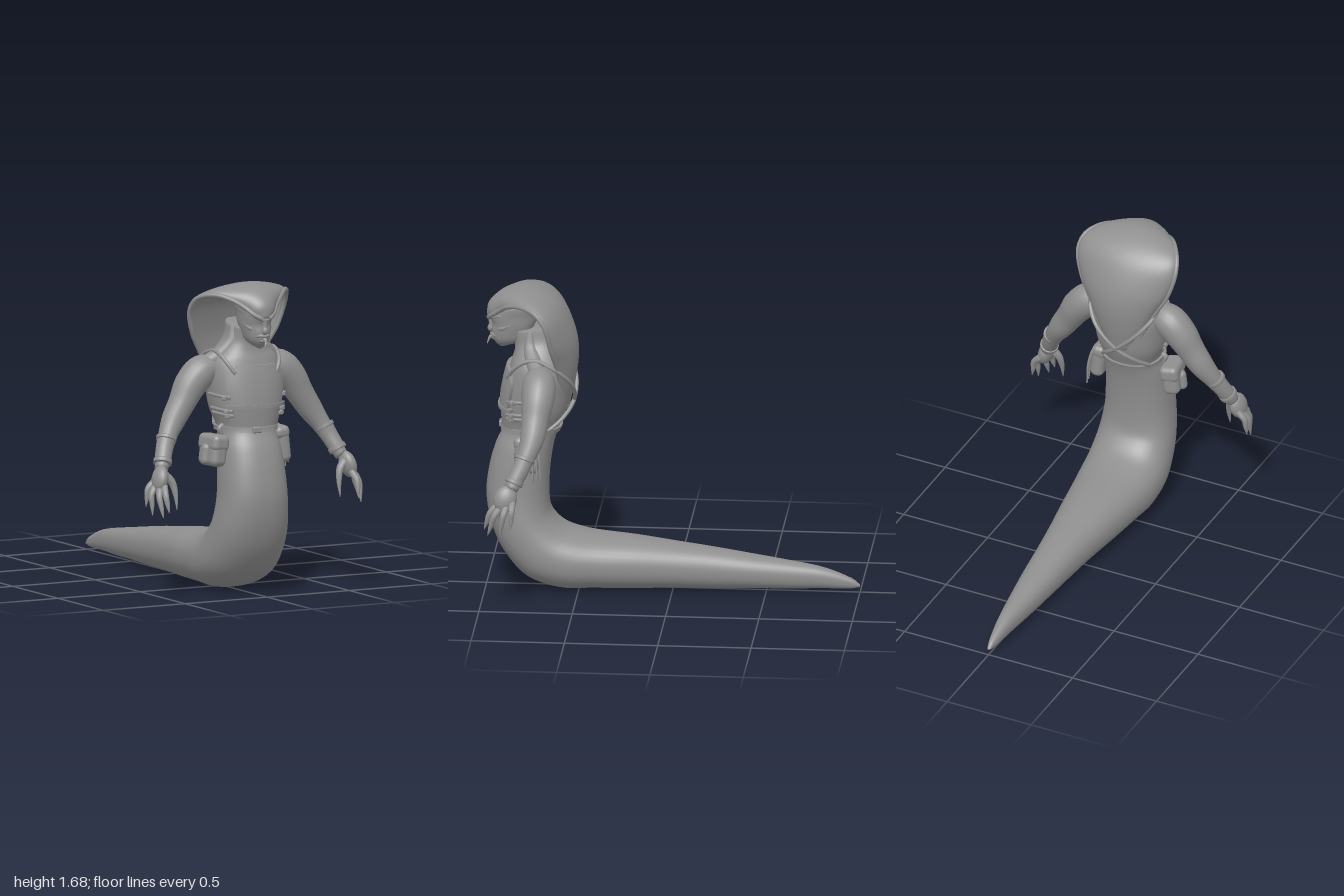
import * as THREE from 'three';
import { toCreasedNormals } from 'three/addons/utils/BufferGeometryUtils.js';
import { RoundedBoxGeometry } from 'three/addons/geometries/RoundedBoxGeometry.js';

const V = (x, y, z) => new THREE.Vector3(x, y, z);
const grey = new THREE.MeshStandardMaterial({ color: 0x8f8f8f });
grey.name = 'stone grey';

// Skin over closed rings of points, capped at both ends
function skin(rings) {
  const n = rings[0].length, pos = [], idx = [];
  for (const ring of rings) for (const p of ring) pos.push(p.x, p.y, p.z);
  for (let i = 0; i < rings.length - 1; i++) for (let j = 0; j < n; j++) {
    const k = (j + 1) % n, a = i * n + j, b = i * n + k, c = b + n, d = a + n;
    idx.push(a, b, c, a, c, d);
  }
  [0, rings.length - 1].forEach((r, e) => {
    const c = rings[r].reduce((s, p) => s.add(p), V(0, 0, 0)).divideScalar(n);
    const m = pos.length / 3;
    pos.push(c.x, c.y, c.z);
    for (let j = 0; j < n; j++) {
      const a = r * n + j, b = r * n + (j + 1) % n;
      idx.push(...(e ? [m, a, b] : [m, b, a]));
    }
  });
  const g = new THREE.BufferGeometry();
  g.setAttribute('position', new THREE.Float32BufferAttribute(pos, 3));
  g.setIndex(idx);
  g.computeVertexNormals();
  return g;
}

// Round limb through [x, y, z, radius] points
function limb(pts, steps = 24, sides = 14) {
  const path = new THREE.CatmullRomCurve3(pts.map(p => V(p[0], p[1], p[2])), false, 'centripetal');
  const rad = new THREE.CatmullRomCurve3(pts.map((p, i) => V(p[3], i, 0)), false, 'catmullrom');
  const f = path.computeFrenetFrames(steps), rings = [];
  for (let i = 0; i <= steps; i++) {
    const u = i / steps, c = path.getPointAt(u), r = rad.getPoint(path.getUtoTmapping(u)).x;
    rings.push(Array.from({ length: sides }, (_, j) => {
      const a = j / sides * Math.PI * 2;
      return c.clone().addScaledVector(f.normals[i], r * Math.cos(a)).addScaledVector(f.binormals[i], r * Math.sin(a));
    }));
  }
  return skin(rings);
}

// Cross-sections: front/belly z, y, then back z, y, then half width
const BODY = [
  [-1, .035, -1, .048, .008], [-.94, .025, -.95, .085, .022], [-.8, .025, -.8, .14, .045], [-.6, .02, -.6, .175, .072],
  [-.4, .02, -.4, .205, .096], [-.2, .015, -.2, .235, .115], [0, .015, 0, .26, .14], [.2, .01, .2, .285, .17],
  [.42, .01, .4, .302, .2], [.6, .01, .5, .32, .218], [.78, .07, .57, .345, .222], [.9, .2, .62, .385, .215],
  [.97, .35, .655, .44, .205], [1, .52, .665, .53, .19], [.985, .67, .66, .66, .18], [.95, .8, .64, .8, .168],
  [.905, .9, .61, .9, .152], [.91, 1, .57, 1, .185], [.905, 1.1, .555, 1.1, .2], [.885, 1.2, .55, 1.2, .205],
  [.865, 1.27, .57, 1.27, .19], [.85, 1.32, .6, 1.33, .14], [.85, 1.37, .62, 1.39, .1], [.87, 1.44, .62, 1.47, .085]];
const HEAD = [
  [.925, 1.338, .89, 1.345, .014], [.95, 1.36, .83, 1.365, .042], [.968, 1.39, .79, 1.39, .06], [.972, 1.43, .76, 1.43, .07],
  [.968, 1.47, .74, 1.47, .077], [.982, 1.515, .72, 1.52, .08], [.95, 1.57, .7, 1.58, .085], [.88, 1.62, .72, 1.62, .06]];

function sampler(rows) {
  const front = new THREE.CatmullRomCurve3(rows.map(r => V(r[4], r[1], r[0])), false, 'catmullrom');
  const back = new THREE.CatmullRomCurve3(rows.map(r => V(0, r[3], r[2])), false, 'catmullrom');
  const pw = v => Math.sign(v) * Math.abs(v) ** .88;
  return (i, a, off = 0) => {
    const t = Math.min(1, Math.max(0, i / (rows.length - 1)));
    const f = front.getPoint(t), b = back.getPoint(t), w = f.x + off;
    f.x = 0;
    const half = f.clone().sub(b).multiplyScalar(.5), c = f.add(b).multiplyScalar(.5);
    half.setLength(half.length() + off);
    return c.addScaledVector(half, pw(Math.cos(a))).add(V(w * pw(Math.sin(a)), 0, 0));
  };
}
function loft(rows, per, sides) {
  const at = sampler(rows), n = (rows.length - 1) * per;
  return skin(Array.from({ length: n + 1 }, (_, i) =>
    Array.from({ length: sides }, (_, j) => at(i / per, j / sides * Math.PI * 2))));
}

// Point on the torso at a height and angle, pushed out by off
const bodyAt = sampler(BODY);
const onTorso = (y, a, off) =>
  bodyAt(y < 1.2 ? 16 + (y - .9) * 10 : y < 1.27 ? 19 + (y - 1.2) / .07 : 20 + (y - 1.27) / .05, a, off);

// Raised plate wrapped on the torso; rows of [y, half angle]
function plate(rows, off) {
  const n = 24;
  return toCreasedNormals(skin(rows.map(([y, h]) => {
    const ring = [];
    for (let j = 0; j <= n; j++) ring.push(onTorso(y, (j / n * 2 - 1) * h, off));
    for (let j = n; j >= 0; j--) ring.push(onTorso(y, (j / n * 2 - 1) * h, -.01));
    return ring;
  })), .7);
}
const strap = (rows, r) => limb(rows.map(([y, a, off]) => [...onTorso(y, a, off).toArray(), r]), 50, 8);

// Hood: [spine z, spine y, rim x, rim y, rim z] from brow to lower back
const HOOD = [
  [.998, 1.52, .02, 1.505, .988], [.992, 1.575, .06, 1.53, .965], [.957, 1.622, .095, 1.565, .925], [.89, 1.664, .15, 1.605, .875],
  [.785, 1.682, .215, 1.625, .8], [.67, 1.645, .272, 1.6, .715], [.585, 1.57, .288, 1.53, .665], [.525, 1.44, .255, 1.4, .635],
  [.506, 1.32, .195, 1.29, .61], [.52, 1.18, .13, 1.16, .59], [.553, 1.03, .05, 1.03, .58]];
function hoodGeometry() {
  const spine = new THREE.CatmullRomCurve3(HOOD.map(h => V(0, h[1], h[0])), false, 'catmullrom');
  const rim = new THREE.CatmullRomCurve3(HOOD.map(h => V(h[2], h[3], h[4])), false, 'catmullrom');
  const rings = [], n = 32, steps = 60;
  for (let i = 0; i <= steps; i++) {
    const s = spine.getPoint(i / steps), r = rim.getPoint(i / steps), ring = [];
    const ridge = .012 * Math.sin(Math.PI * i / steps);
    const put = (u, kx, k) => {
      const a = u * Math.PI / 2, c = Math.cos(a) * k - (k === 1 ? ridge * 4 * Math.sin(2 * a) ** 2 : 0);
      ring.push(V(r.x * kx * Math.sin(a), r.y + (s.y - r.y) * c, r.z + (s.z - r.z) * c));
    };
    for (let j = 0; j <= n; j++) put(j / n * 2 - 1, 1, 1);
    for (let j = n; j >= 0; j--) put(j / n * 2 - 1, .94, .72);
    rings.push(ring);
  }
  return skin(rings);
}

export function createModel() {
  const model = new THREE.Group();
  const add = (name, geo, pos, rot, parent = model) => {
    const m = new THREE.Mesh(geo, grey);
    m.name = name;
    if (pos) m.position.set(...pos);
    if (rot) m.rotation.set(...rot);
    parent.add(m);
    return m;
  };
  add('serpentBody', loft(BODY, 5, 40));
  add('head', loft(HEAD, 5, 28));
  add('hood', hoodGeometry());

  // Face
  add('nose', limb([[0, 1.505, .98, .012], [0, 1.46, .975, .014], [0, 1.435, .978, .017], [0, 1.42, .968, .006]]));
  add('tongue', limb([[0, 1.4, .955, .012], [0, 1.39, .978, .01], [0, 1.375, .988, .007]]));
  add('upperLip', limb([[-.052, 1.395, .925, .004], [-.025, 1.412, .966, .008], [0, 1.408, .974, .008], [.025, 1.412, .966, .008], [.052, 1.395, .925, .004]]));
  add('lowerLip', limb([[-.045, 1.38, .925, .004], [0, 1.385, .965, .009], [.045, 1.38, .925, .004]]));

  // Chest armour and belts
  add('breastplate', plate([[1.035, .78], [1.1, .84], [1.17, .84], [1.21, .68], [1.24, .5]], .02));
  add('bellyPlate', plate([[.915, .95], [.96, .9], [1.02, .8]], .015));
  add('chestBelt', plate([[1.015, .95], [1.022, .95], [1.035, .95]], .028));
  add('waistBelt', plate([[.885, Math.PI], [.9, Math.PI], [.912, Math.PI]], .015));
  add('beltKnot', new RoundedBoxGeometry(.05, .035, .02, 2, .008), [-.02, .9, .925]);

  for (const s of [1, -1]) {
    const side = new THREE.Group();
    side.name = s > 0 ? 'leftSide' : 'rightSide';
    model.add(side);
    const put = (name, pts, steps, sides) => add(name, limb(pts.map(([x, ...r]) => [s * x, ...r]), steps, sides), null, null, side);

    put('hoodRim', HOOD.map(h => [h[2], h[3], h[4], .013]), 60, 10);
    put('browRidge', [[.008, 1.495, .985, .006], [.035, 1.508, .968, .011], [.07, 1.525, .92, .006]], 12, 8);
    put('eye', [[.018, 1.478, .965, .003], [.035, 1.484, .953, .008], [.052, 1.49, .935, .003]], 10, 8);
    put('cheekbone', [[.03, 1.445, .95, .006], [.055, 1.45, .92, .014], [.074, 1.475, .87, .006]], 12, 8);
    put('tongueFork', [[0, 1.378, .986, .007], [.006, 1.365, .992, .005], [.012, 1.352, .996, .001]], 8, 6);
    put('neckMuscle', [[.07, 1.45, .76, .02], [.085, 1.36, .76, .036], [.13, 1.3, .74, .045], [.2, 1.25, .71, .045]]);

    // Arm, bracer and clawed hand
    put('arm', [[.14, 1.22, .71, .06], [.23, 1.205, .7, .088], [.3, 1.14, .7, .088], [.36, 1.045, .71, .074],
      [.415, .96, .72, .066], [.465, .88, .745, .052], [.51, .79, .785, .042], [.55, .71, .825, .036]], 40, 20);
    put('bracer', [[.478, .868, .755, .05], [.5, .82, .772, .047], [.535, .74, .812, .044]], 14, 20);
    put('bracerTopBand', [[.477, .872, .753, .055], [.485, .854, .76, .055]], 4, 20);
    put('bracerBottomBand', [[.527, .76, .803, .05], [.536, .738, .813, .05]], 4, 20);
    add('palm', new THREE.SphereGeometry(1, 20, 14), [s * .572, .665, .852], [-.3, 0, s * .25], side).scale.set(.04, .075, .062);
    const fingers = [
      [[.585, .65, .815], [.625, .61, .815], [.64, .515, .82]], [[.59, .635, .845], [.627, .585, .86], [.632, .475, .88]],
      [[.585, .625, .875], [.607, .575, .91], [.602, .468, .945]], [[.57, .63, .895], [.582, .585, .935], [.577, .495, .965]]];
    for (const [a, b, c] of fingers)
      put('finger', [[...a, .02], [...b, .017], [(b[0] + c[0]) / 2, (b[1] + c[1]) / 2, (b[2] + c[2]) / 2, .013], [...c, .002]], 16, 10);
    put('thumb', [[.55, .685, .86, .026], [.512, .645, .875, .021], [.498, .58, .89, .014], [.497, .498, .905, .002]], 16, 10);

    // Harness over the shoulder, crossing the back
    add('shoulderStrap', strap([[1.2, .55, .015], [1.25, .75, .02], [1.3, 1.2, .025], [1.31, 1.6, .03], [1.27, 2.1, .03], [1.17, 2.65, .035],
      [1.05, 3.14, .03], [.97, 3.6, .012], [.91, 4.1, .01]].map(([y, a, o]) => [y, s * a, o]), .011), null, null, side);
    for (const y of [.975, 1.0, 1.075]) {
      add('sideStrap', strap([[y, s * .75, .018], [y + .005, s * 1.1, .01], [y + .01, s * 1.6, .006]], .009), null, null, side);
      const p = onTorso(y, s * .95, .016);
      add('buckle', new RoundedBoxGeometry(.03, .026, .03, 2, .006), p.toArray(), [0, s * .8, 0], side);
    }
  }

  // Satchel on the right hip
  const satchel = new THREE.Group();
  satchel.name = 'satchel';
  satchel.position.set(-.215, .785, .79);
  satchel.rotation.set(0, .15, -.12);
  model.add(satchel);
  add('satchelBag', new RoundedBoxGeometry(.095, .165, .16, 5, .035), [0, 0, 0], null, satchel);
  add('satchelFlap', new RoundedBoxGeometry(.105, .09, .168, 5, .03), [0, .045, 0], null, satchel);
  add('satchelSideRoll', new THREE.CapsuleGeometry(.028, .06, 6, 14), [-.045, -.02, 0], null, satchel);
  add('satchelLoop', limb([[.045, .09, 0, .014], [.03, .12, 0, .014], [.05, .14, 0, .014]]), null, null, satchel);

  // Pouch and hanging cords on the left hip
  const pouch = new THREE.Group();
  pouch.name = 'pouch';
  pouch.position.set(.205, .79, .77);
  pouch.rotation.z = .1;
  model.add(pouch);
  add('pouchBag', new RoundedBoxGeometry(.075, .18, .13, 5, .034), [0, -.005, 0], null, pouch);
  add('pouchFlap', new RoundedBoxGeometry(.085, .07, .138, 5, .03), [-.005, .07, 0], null, pouch);
  for (let i = 0; i < 4; i++)
    add('cord', limb([[.17, .905, .74, .01], [.215, .88, .72 + i * .012, .01], [.243, .79, .7 + i * .018, .008],
      [.25 + i * .005, .66 + (i % 2) * .025, .69 + i * .02, .004]], 16, 8));
  return model;
}
